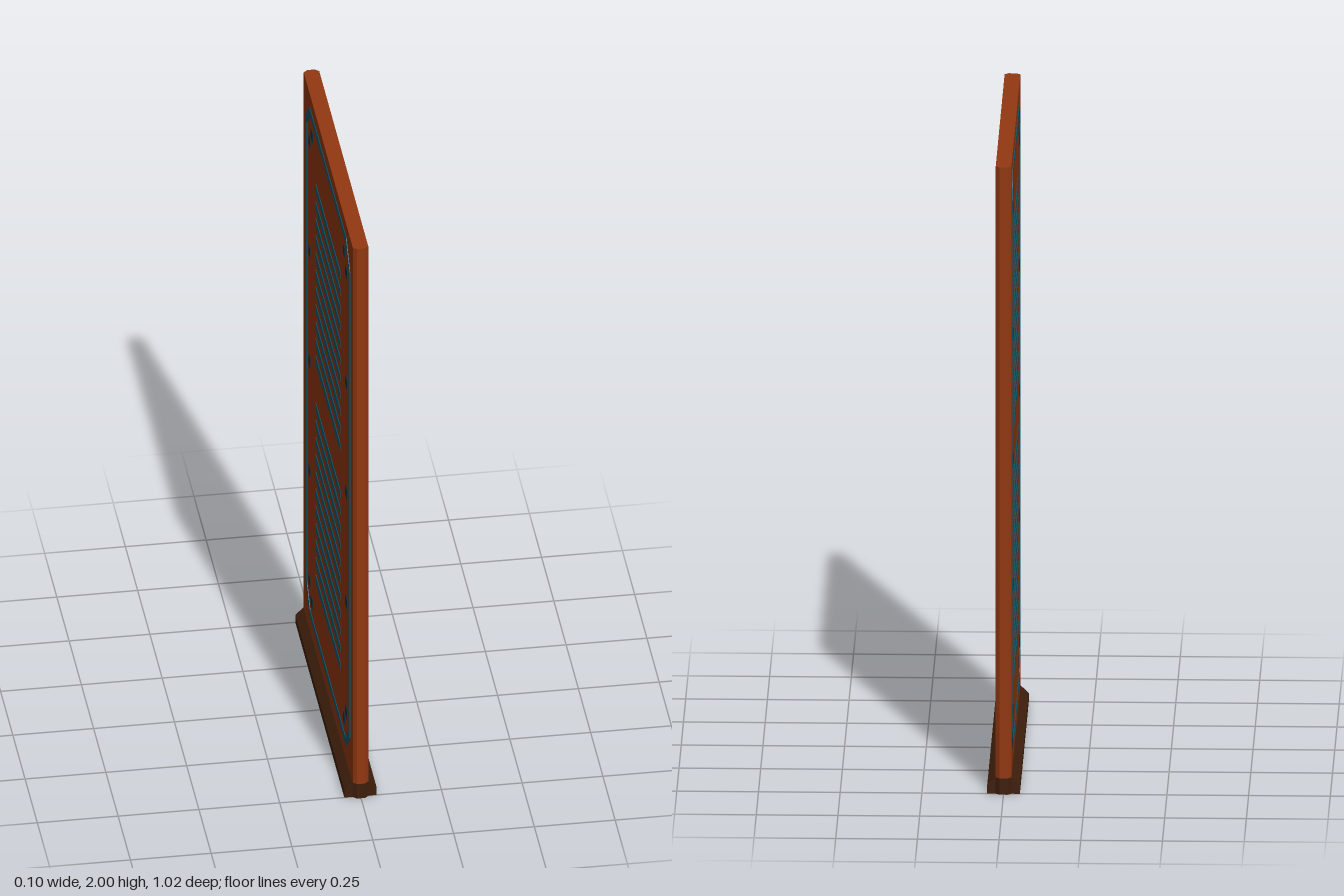
import * as THREE from 'three';

const material = (name, color) => {
  const m = new THREE.MeshStandardMaterial({ color });
  m.name = name;
  return m;
};

const polygon = (points) => new THREE.Shape(points.map(([x, y]) => new THREE.Vector2(x, y)));

// Rectangle outline with cut corners
const cutRect = (w, y0, y1, cut) => [
  [-w + cut, y0], [w - cut, y0], [w, y0 + cut], [w, y1 - cut],
  [w - cut, y1], [-w + cut, y1], [-w, y1 - cut], [-w, y0 + cut],
];

export function createModel() {
  const group = new THREE.Group();
  const rust = material('rust panel', 0x933811);
  const brown = material('dark brown base', 0x3f1f0c);
  const teal = material('teal trim', 0x10596e);
  const navy = material('dark teal stud', 0x10323f);

  const add = (parent, name, geometry, mat) => {
    const mesh = new THREE.Mesh(geometry, mat);
    mesh.name = name;
    parent.add(mesh);
    return mesh;
  };

  // Panel with bevelled vertical edges, extruded upwards
  const half = 0.024;
  const section = polygon([
    [-half, -0.5], [-0.012, -0.511], [0.012, -0.511], [half, -0.5],
    [half, 0.5], [0.012, 0.511], [-0.012, 0.511], [-half, 0.5],
  ]);
  const panelGeo = new THREE.ExtrudeGeometry(section, { depth: 2, bevelEnabled: false });
  panelGeo.rotateX(-Math.PI / 2);
  add(group, 'panel', panelGeo, rust);

  // Foot rail with sloping shoulders, plus the bevelled core at its ends
  const rail = polygon([
    [-0.05, 0], [0.05, 0], [0.05, 0.027], [0.025, 0.052], [-0.025, 0.052], [-0.05, 0.027],
  ]);
  const railGeo = new THREE.ExtrudeGeometry(rail, { depth: 1, bevelEnabled: false });
  railGeo.translate(0, 0, -0.5);
  add(group, 'footRail', railGeo, brown);
  const coreGeo = new THREE.ExtrudeGeometry(section, { depth: 0.052, bevelEnabled: false });
  coreGeo.rotateX(-Math.PI / 2);
  coreGeo.scale(1.02, 1, 1.001);
  add(group, 'footRailCore', coreGeo, brown);

  // Trim border with cut corners
  const border = polygon(cutRect(0.45, 0.105, 1.955, 0.077));
  border.holes.push(new THREE.Path(
    cutRect(0.426, 0.129, 1.931, 0.065).reverse().map(([x, y]) => new THREE.Vector2(x, y))));
  const borderGeo = new THREE.ExtrudeGeometry(border, { depth: 0.002, bevelEnabled: false });
  const slatGeo = new THREE.BoxGeometry(0.5, 0.028, 0.002);
  const studGeo = new THREE.BoxGeometry(0.034, 0.034, 0.002);
  const studs = [[0.327, 1.88], [0.327, 0.18],
    ...[1.83, 1.43, 1.03, 0.63, 0.23].map((y) => [0.377, y])];

  // Same decoration on both broad faces
  for (const side of [1, -1]) {
    const face = new THREE.Group();
    face.name = side > 0 ? 'leftFace' : 'rightFace';
    face.rotation.y = side * Math.PI / 2;
    add(face, 'border', borderGeo, teal).position.z = half;
    for (const top of [1.74, 0.943]) {
      for (let i = 0; i < 11; i++) {
        add(face, 'slat', slatGeo, teal).position.set(0, top - i * 0.0625, half + 0.001);
      }
    }
    for (const [x, y] of studs) {
      for (const s of [1, -1]) {
        add(face, 'stud', studGeo, navy).position.set(s * x, y, half + 0.001);
      }
    }
    group.add(face);
  }
  return group;
}
